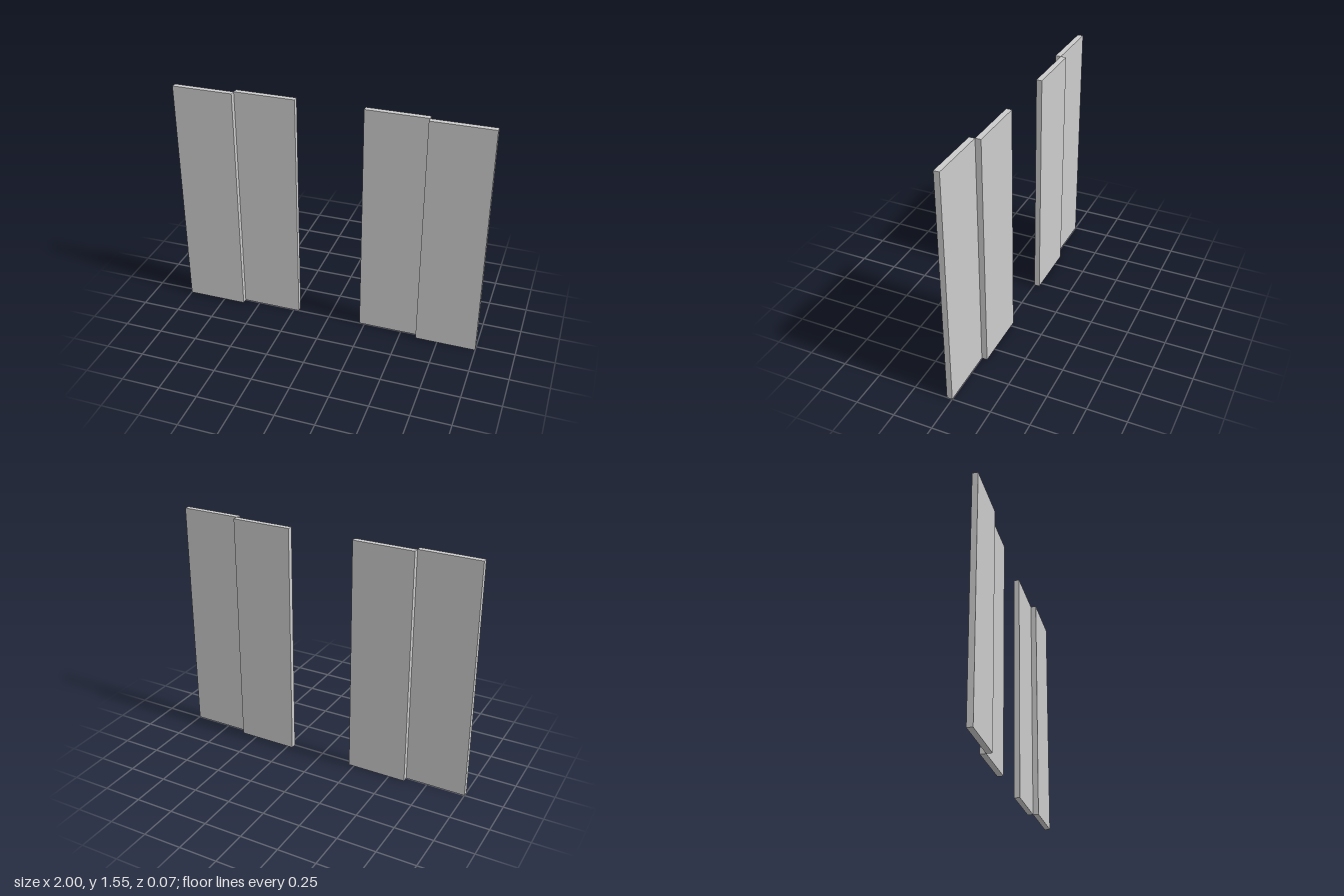
import * as THREE from 'three';

const HEIGHT = 1.547, DEPTH = 0.036;
const INNER = 0.215, SEAM = 0.607, OUTER = 1;

export function createModel() {
  const model = new THREE.Group();
  model.name = 'slidingPanels';
  const material = new THREE.MeshStandardMaterial({ color: 0xcccccc });

  // Upright slab between two x positions, on the front (+1) or back (-1) track
  const addPanel = (parent, name, x0, x1, track) => {
    const panel = new THREE.Mesh(new THREE.BoxGeometry(x1 - x0, HEIGHT, DEPTH), material);
    panel.name = name;
    panel.position.set((x0 + x1) / 2, HEIGHT / 2, track * DEPTH / 2);
    parent.add(panel);
  };

  // One pair per side: inner panel behind, outer panel in front
  for (const [side, s] of [['left', 1], ['right', -1]]) {
    const pair = new THREE.Group();
    pair.name = `${side}Pair`;
    const span = (a, b) => (s > 0 ? [a, b] : [-b, -a]);
    addPanel(pair, `${side}InnerPanel`, ...span(INNER, SEAM), -1);
    addPanel(pair, `${side}OuterPanel`, ...span(SEAM, OUTER), 1);
    model.add(pair);
  }
  return model;
}
